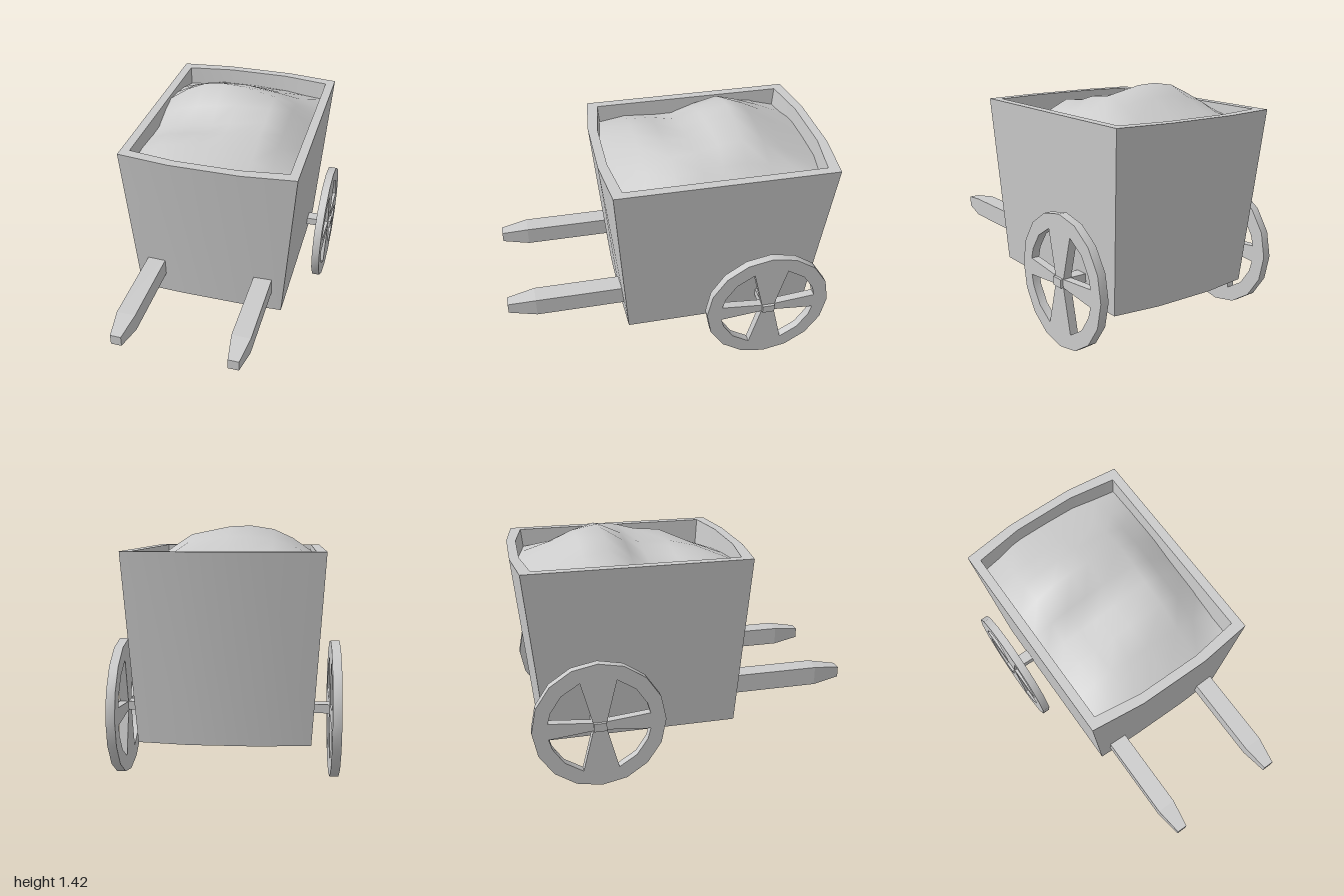
import * as THREE from 'three';
import { toCreasedNormals } from 'three/addons/utils/BufferGeometryUtils.js';

const material = new THREE.MeshStandardMaterial({ color: 0xcccccc });
const flat = new THREE.MeshStandardMaterial({ color: 0xcccccc, flatShading: true });

function add(parent, name, geometry, mat = flat) {
  const mesh = new THREE.Mesh(geometry, mat);
  mesh.name = name;
  parent.add(mesh);
  return mesh;
}

// Box outline at height y, with bowed front and back edges
function outline(y, hx, frontCorner, frontMid, backCorner, backMid) {
  const m = hx * 0.4;
  return [
    [hx, frontCorner], [m, frontMid], [-m, frontMid], [-hx, frontCorner],
    [-hx, backCorner], [-m, backMid], [m, backMid], [hx, backCorner],
  ].map(([x, z]) => [x, y, z]);
}

// Skin a list of rings, capping the first
function loft(rings) {
  const n = rings[0].length;
  const pos = [];
  for (let i = 1; i < n - 1; i++) pos.push(...rings[0][0], ...rings[0][i], ...rings[0][i + 1]);
  for (let r = 0; r < rings.length - 1; r++) {
    for (let i = 0; i < n; i++) {
      const j = (i + 1) % n;
      const [a, b, c, d] = [rings[r][i], rings[r][j], rings[r + 1][j], rings[r + 1][i]];
      pos.push(...a, ...d, ...c, ...a, ...c, ...b);
    }
  }
  const g = new THREE.BufferGeometry();
  g.setAttribute('position', new THREE.Float32BufferAttribute(pos, 3));
  return toCreasedNormals(g, 0.5);
}

// Soft uneven heap: heights by row (back to front) and column (-x to +x)
function heapGeometry() {
  const xs = [-0.49, -0.36, -0.25, -0.12, 0, 0.22, 0.34, 0.49];
  const zs = [-0.91, -0.73, -0.6, -0.46, -0.32, -0.2, -0.04, 0.12, 0.3];
  const heights = [
    [1.17, 1.18, 1.19, 1.19, 1.19, 1.18, 1.18, 1.17],
    [1.22, 1.26, 1.28, 1.29, 1.29, 1.27, 1.24, 1.18],
    [1.24, 1.31, 1.345, 1.36, 1.36, 1.33, 1.26, 1.18],
    [1.26, 1.35, 1.40, 1.42, 1.415, 1.37, 1.29, 1.18],
    [1.23, 1.28, 1.31, 1.33, 1.35, 1.355, 1.28, 1.16],
    [1.19, 1.21, 1.23, 1.25, 1.28, 1.32, 1.26, 1.15],
    [1.19, 1.24, 1.26, 1.28, 1.29, 1.305, 1.25, 1.14],
    [1.20, 1.25, 1.27, 1.275, 1.265, 1.23, 1.18, 1.12],
    [1.17, 1.20, 1.20, 1.19, 1.18, 1.15, 1.13, 1.12],
  ];
  const g = new THREE.PlaneGeometry(1, 1, xs.length - 1, zs.length - 1);
  const p = g.attributes.position;
  for (let i = 0; i < p.count; i++) {
    const c = i % xs.length;
    const r = Math.floor(i / xs.length);
    // End rows follow the bowed walls
    const bow = Math.abs(xs[c]) < 0.3 ? 0.035 : 0;
    const shift = r === 0 ? -bow : r === zs.length - 1 ? bow : 0;
    p.setXYZ(i, xs[c], heights[r][c], zs[r] + shift);
  }
  g.computeVertexNormals();
  return g;
}

// Sixteen-sided wheel with four openings that leave flared spokes
function wheelGeometry() {
  const shape = new THREE.Shape();
  const R = 0.388;
  for (let i = 0; i < 16; i++) {
    const a = (i * Math.PI) / 8;
    shape[i ? 'lineTo' : 'moveTo'](R * Math.cos(a), R * Math.sin(a));
  }
  const opening = [[0.04, 0.025], [0.295, 0.05], [0.277, 0.115], [0.212, 0.212], [0.105, 0.28]];
  for (const sx of [1, -1]) {
    for (const sy of [1, -1]) {
      shape.holes.push(new THREE.Path(opening.map(([x, y]) => new THREE.Vector2(x * sx, y * sy))));
    }
  }
  const g = new THREE.ExtrudeGeometry(shape, { depth: 0.05, bevelEnabled: false });
  g.translate(0, 0, -0.025);
  g.rotateY(Math.PI / 2);
  return toCreasedNormals(g, 0.5);
}

// Square shaft with a tapered tip
function handleGeometry() {
  const g = new THREE.BoxGeometry(0.115, 0.115, 0.8, 1, 1, 2);
  const p = g.attributes.position;
  for (let i = 0; i < p.count; i++) {
    const z = p.getZ(i);
    if (z > 0.3) p.setXYZ(i, p.getX(i) * 0.57, p.getY(i) * 0.57, 1);
    else p.setZ(i, z < -0.3 ? 0.2 : 0.83);
  }
  return g;
}

export function createModel() {
  const cart = new THREE.Group();
  cart.name = 'handcart';

  // Tapered box: outer wall, rim, inner wall
  add(cart, 'cartBox', loft([
    outline(0.25, 0.47, 0.275, 0.285, -0.87, -0.905),
    outline(1.29, 0.535, 0.35, 0.387, -0.96, -1.0),
    outline(1.29, 0.48, 0.29, 0.33, -0.9, -0.945),
    outline(0.95, 0.458, 0.26, 0.3, -0.87, -0.915),
  ]), material);

  add(cart, 'loadHeap', heapGeometry(), material);

  // Axle through both wheels
  add(cart, 'axle', new THREE.BoxGeometry(1.29, 0.05, 0.075)).position.set(0, 0.39, -0.575);

  const wheel = wheelGeometry();
  const handle = handleGeometry();
  for (const [side, s] of [['left', 1], ['right', -1]]) {
    add(cart, side + 'Wheel', wheel, material).position.set(s * 0.603, 0.39, -0.575);
    add(cart, side + 'Handle', handle).position.set(s * 0.349, 0.453, 0);
  }
  return cart;
}
